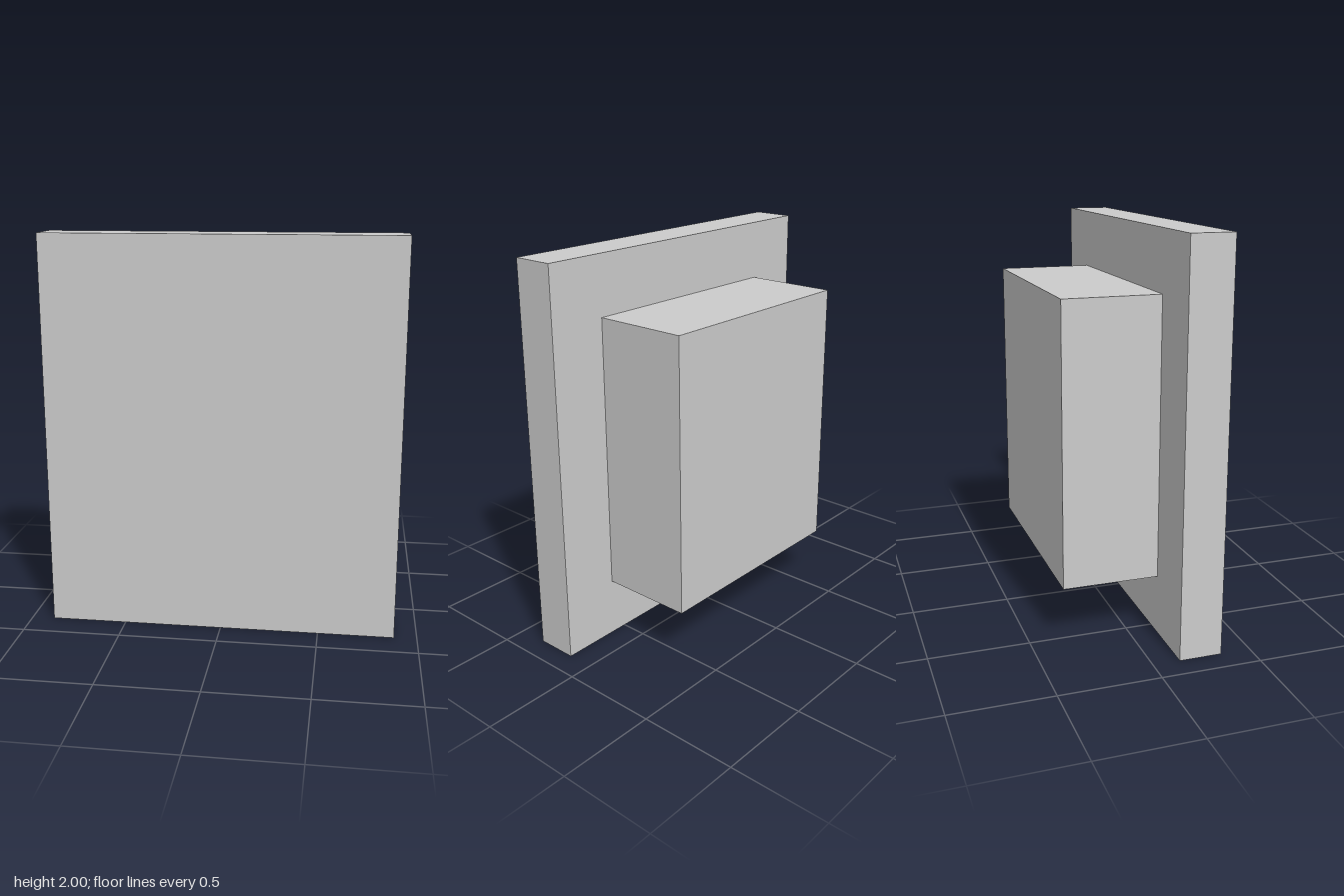
import * as THREE from 'three';

const material = new THREE.MeshStandardMaterial({ color: 0xcccccc, flatShading: true });

// Box given by its extents along each axis
function box(name, [x0, x1], [y0, y1], [z0, z1]) {
  const mesh = new THREE.Mesh(new THREE.BoxGeometry(x1 - x0, y1 - y0, z1 - z0), material);
  mesh.position.set((x0 + x1) / 2, (y0 + y1) / 2, (z0 + z1) / 2);
  mesh.name = name;
  return mesh;
}

export function createModel() {
  const model = new THREE.Group();
  model.name = 'panelWithBackBox';
  // Wide front plate
  model.add(box('frontPlate', [-0.885, 0.885], [0, 2], [0.135, 0.348]));
  // Smaller housing centred on the back of the plate
  model.add(box('backHousing', [-0.58, 0.58], [0.3, 1.7], [-0.348, 0.135]));
  return model;
}
